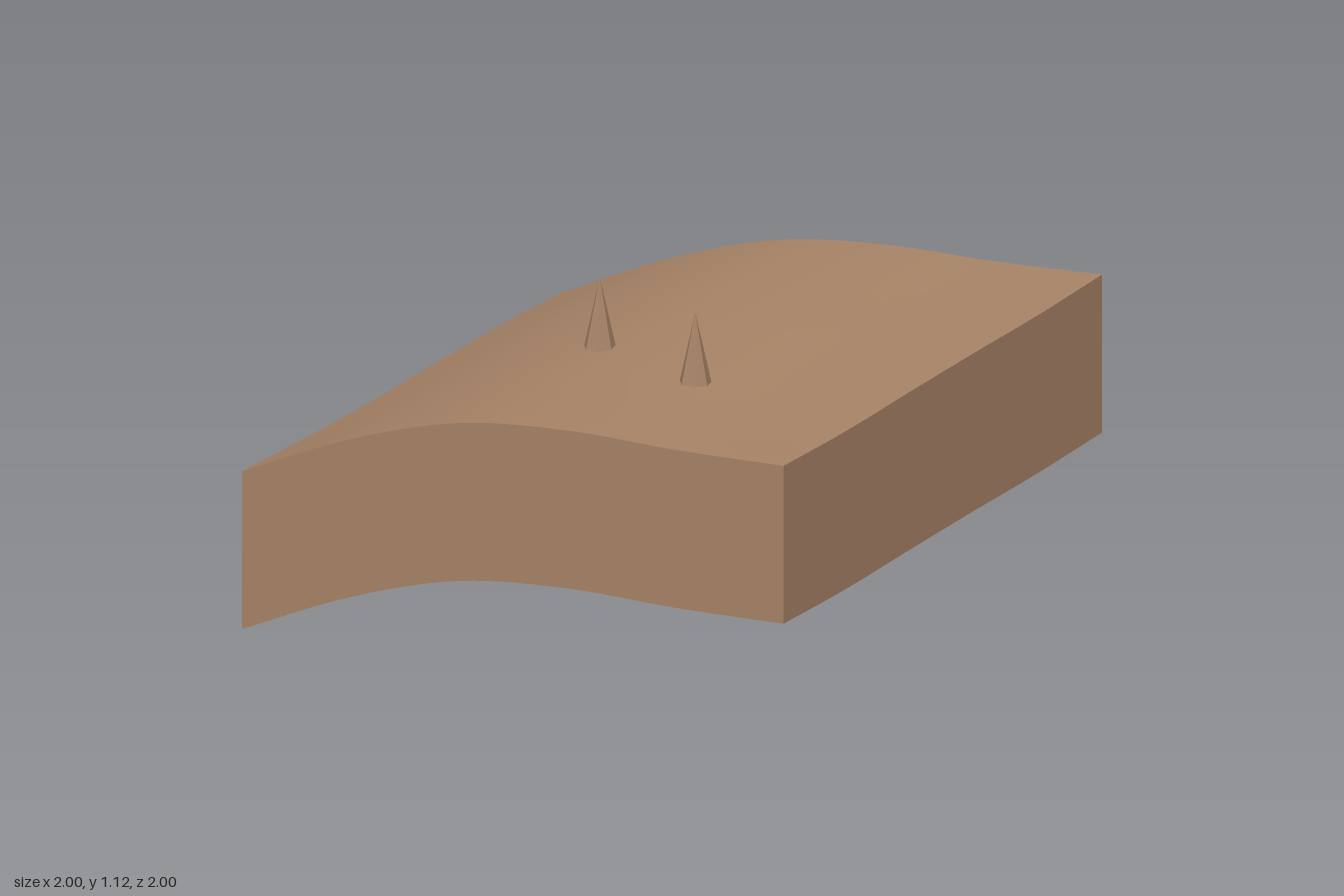
import * as THREE from 'three';

const earth = new THREE.MeshStandardMaterial({ color: 0xa88467, side: THREE.DoubleSide });
earth.name = 'earth brown';

const DEPTH = 0.53;
const SEGMENTS = 40;

// Smooth curve through evenly spaced heights from -1 to 1
const STOPS = [-1, -0.6, -0.2, 0.2, 0.6, 1];
function profile(heights) {
  const curve = new THREE.CubicInterpolant(STOPS, heights, 1, [0]);
  return (t) => curve.evaluate(t)[0];
}

// Hill shape: the front profile plus the rise along the two sides
const front = profile([0.003, 0.178, 0.3, 0.343, 0.346, 0.36]);
const riseRight = profile([0.02, 0.022, 0.012, 0, -0.003, 0]);
const riseLeft = profile([0.065, 0.045, 0.034, 0.02, 0.004, 0]);
function groundHeight(x, z) {
  return DEPTH + front(x) + THREE.MathUtils.lerp(riseRight(z), riseLeft(z), (x + 1) / 2);
}

function addMesh(group, name, geometry) {
  const mesh = new THREE.Mesh(geometry, earth);
  mesh.name = name;
  group.add(mesh);
  return mesh;
}

// Curved ground surface
function groundGeometry() {
  const geometry = new THREE.PlaneGeometry(2, 2, SEGMENTS, SEGMENTS).rotateX(-Math.PI / 2);
  const p = geometry.attributes.position;
  for (let i = 0; i < p.count; i++) p.setY(i, groundHeight(p.getX(i), p.getZ(i)));
  geometry.computeVertexNormals();
  return geometry;
}

// Skirt wall, turned about y to its side and hung from the ground edge
function wallGeometry(angle) {
  const geometry = new THREE.PlaneGeometry(2, DEPTH, SEGMENTS, 1).translate(0, -DEPTH / 2, 1).rotateY(angle);
  const p = geometry.attributes.position;
  for (let i = 0; i < p.count; i++) {
    const x = THREE.MathUtils.clamp(p.getX(i), -1, 1);
    const z = THREE.MathUtils.clamp(p.getZ(i), -1, 1);
    p.setY(i, p.getY(i) + groundHeight(x, z));
  }
  return geometry;
}

// Faceted spike standing on the ground
function spikeGeometry() {
  const geometry = new THREE.ConeGeometry(0.052, 0.235, 7).rotateY(Math.PI).toNonIndexed();
  geometry.computeVertexNormals();
  return geometry;
}

export function createModel() {
  const model = new THREE.Group();
  model.name = 'terrainTile';

  addMesh(model, 'ground', groundGeometry());
  ['frontWall', 'leftWall', 'backWall', 'rightWall'].forEach((name, i) => {
    addMesh(model, name, wallGeometry((i * Math.PI) / 2));
  });

  [[-0.17, 0.165, 1.085], [0.33, 0.415, 1.123]].forEach(([x, z, tip], i) => {
    addMesh(model, `spike${i + 1}`, spikeGeometry()).position.set(x, tip - 0.1175, z);
  });
  return model;
}
